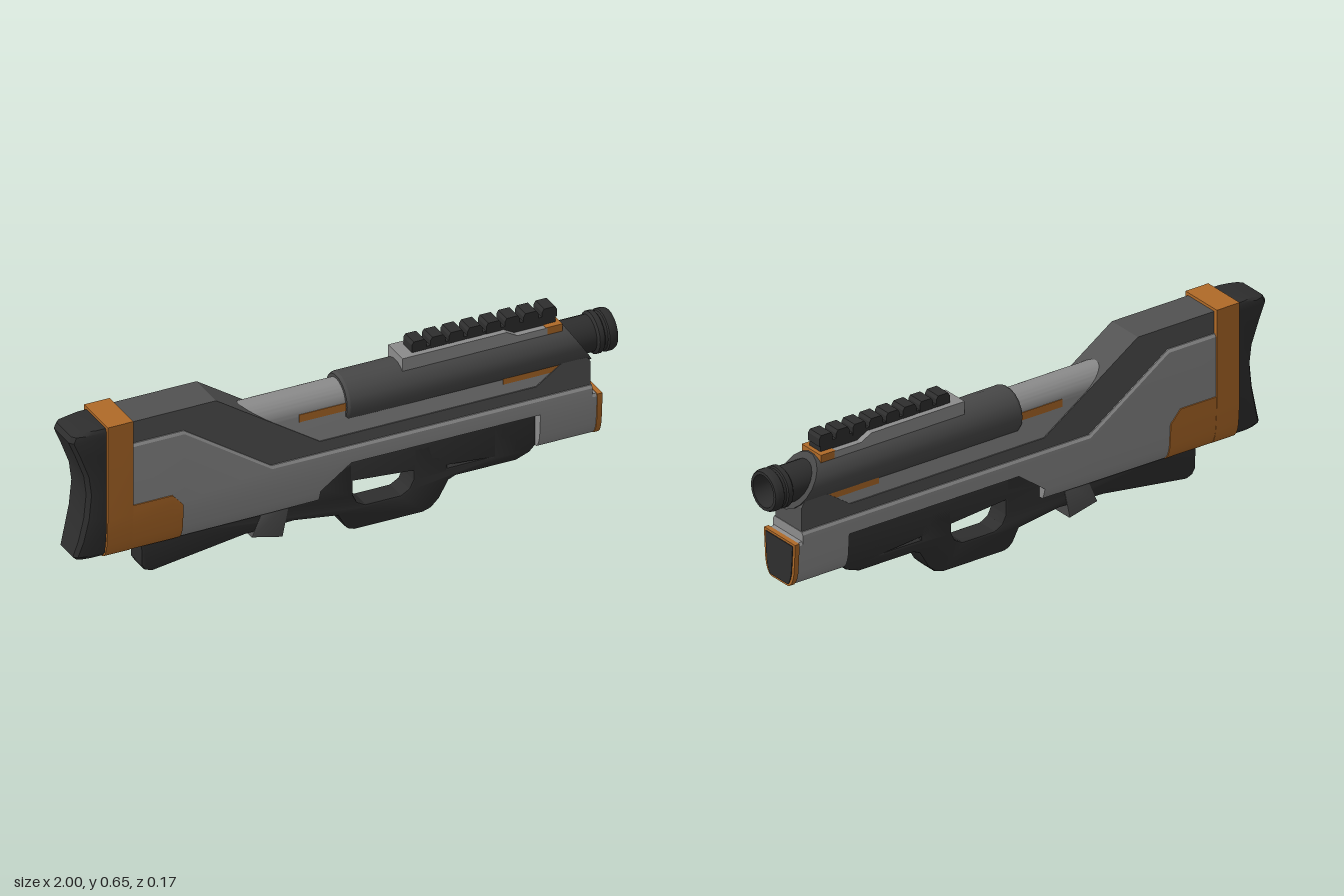
import * as THREE from 'three';
import { toCreasedNormals } from 'three/addons/utils/BufferGeometryUtils.js';

const mat = (color) => new THREE.MeshStandardMaterial({ color });
const LIGHT = mat(0x8c8c8c), DARK = mat(0x525252), SLEEVE = mat(0x484848), BLACK = mat(0x2e2e2e), ORANGE = mat(0xb06a28);
const AXIS_Y = 0.495;

// Half width of the U-shaped body at height y
const WIDTHS = [[0.146, 0.042], [0.152, 0.054], [0.164, 0.064], [0.18, 0.071], [0.2, 0.076], [0.25, 0.08], [0.3, 0.083], [0.9, 0.083]];
function halfWidth(y) {
  for (let i = 1; i < WIDTHS.length; i++) {
    const [y0, w0] = WIDTHS[i - 1], [y1, w1] = WIDTHS[i];
    if (y <= y1) return w0 + (w1 - w0) * Math.max(0, (y - y0) / (y1 - y0));
  }
  return 0.083;
}

// Skin closed convex rings of [x, y, z] points, with end caps
function loft(rings) {
  const n = rings[0].length, idx = [], pos = rings.flat();
  for (let r = 0; r < rings.length - 1; r++)
    for (let i = 0; i < n; i++) {
      const a = r * n + i, b = r * n + (i + 1) % n;
      idx.push(a, b, b + n, a, b + n, a + n);
    }
  const e = (rings.length - 1) * n;
  for (let i = 1; i < n - 1; i++) idx.push(0, i + 1, i, e, e + i, e + i + 1);
  // turn all faces outward if the enclosed volume is negative
  let vol = 0;
  const v = (i) => new THREE.Vector3(...pos[i]);
  for (let i = 0; i < idx.length; i += 3) vol += v(idx[i]).dot(v(idx[i + 1]).cross(v(idx[i + 2])));
  if (vol < 0) idx.reverse();
  const g = new THREE.BufferGeometry();
  g.setAttribute('position', new THREE.Float32BufferAttribute(pos.flat(), 3));
  g.setIndex(idx);
  return toCreasedNormals(g, 0.5);
}

// Body-section loft from stations [x, bottom, top]
function shell(stations, grow = 0, chamfer = 0) {
  return loft(stations.map(([x, bot, top]) => {
    const side = WIDTHS.map(([y]) => {
      const c = Math.min(Math.max(y, bot), top - 0.01);
      return [x, c, halfWidth(c) + grow];
    });
    side.push([x, top, halfWidth(top) + grow - chamfer]);
    return [...side, ...side.map(([px, y, z]) => [px, y, -z]).reverse()];
  }));
}

// Side profile extruded symmetrically in z
function slab(points, half, bevel = 0, holes = []) {
  const v2 = (p) => p.map(([x, y]) => new THREE.Vector2(x, y));
  const shape = new THREE.Shape(v2(points));
  for (const h of holes) shape.holes.push(new THREE.Path(v2(h)));
  const depth = 2 * (half - bevel);
  const g = new THREE.ExtrudeGeometry(shape, {
    depth, bevelEnabled: bevel > 0, bevelSize: bevel, bevelThickness: bevel, bevelOffset: -bevel, bevelSegments: 2,
  });
  return toCreasedNormals(g.translate(0, 0, -depth / 2), 0.5);
}

function box(x0, x1, y0, y1, half) {
  return new THREE.BoxGeometry(x1 - x0, y1 - y0, 2 * half).translate((x0 + x1) / 2, (y0 + y1) / 2, 0);
}

// Turned part along x from [x, radius] points
function turned(points, sides) {
  return new THREE.LatheGeometry(points.map(([x, r]) => new THREE.Vector2(r, x)), sides)
    .rotateZ(-Math.PI / 2).translate(0, AXIS_Y, 0);
}

export function createModel() {
  const model = new THREE.Group();
  const add = (name, geometry, material, parent = model) => {
    const m = new THREE.Mesh(geometry, material);
    m.name = name;
    parent.add(m);
  };

  // Lower body with the gap above the trigger guard
  add('lowerBody', shell([
    [-0.8, 0.152, 0.56], [-0.59, 0.152, 0.56], [-0.27, 0.155, 0.345], [-0.09, 0.16, 0.345], [-0.09, 0.2, 0.345],
    [0.02, 0.283, 0.345], [0.71, 0.283, 0.345], [0.71, 0.15, 0.345], [0.9, 0.15, 0.345], [0.9, 0.15, 0.312], [0.92, 0.15, 0.308],
  ], -0.002, 0.006), LIGHT);
  add('frontCapRim', shell([[0.916, 0.147, 0.311], [0.934, 0.147, 0.311]], 0.002), ORANGE);
  add('frontCapFace', shell([[0.92, 0.155, 0.303], [0.937, 0.155, 0.303]], -0.009), BLACK);

  // Upper frame from the stock to the muzzle end
  add('upperFrame', slab([
    [-0.8, 0.64], [-0.47, 0.64], [-0.09, 0.387], [0.7, 0.387], [0.79, 0.45], [0.88, 0.46], [0.898, 0.43],
    [0.898, 0.3], [-0.24, 0.3], [-0.6, 0.52], [-0.8, 0.52],
  ], 0.071), DARK);

  // Receiver: round top over straight sides
  const arch = new THREE.Shape();
  arch.moveTo(-0.067, 0.36).lineTo(0.067, 0.36).lineTo(0.067, AXIS_Y).absarc(0, AXIS_Y, 0.067, 0, Math.PI);
  add('receiver', toCreasedNormals(
    new THREE.ExtrudeGeometry(arch, { depth: 1.2, bevelEnabled: false, curveSegments: 16 })
      .rotateY(Math.PI / 2).translate(-0.4, 0, 0), 0.5), LIGHT);
  add('rearStripe', box(-0.165, 0.02, 0.477, 0.505, 0.0685), ORANGE);
  add('frontStripe', box(0.58, 0.79, 0.425, 0.46, 0.0685), ORANGE);

  // Barrel sleeve with slanted front end
  const sleeve = turned([[0.005, 0], [0.005, 0.079], [0.015, 0.085], [0.8, 0.085], [0.8, 0]], 18);
  const p = sleeve.attributes.position;
  for (let i = 0; i < p.count; i++) if (p.getX(i) > 0.5) p.setX(i, 0.81 + (0.58 - p.getY(i)) * 0.66);
  add('barrelSleeve', toCreasedNormals(sleeve, 0.5), SLEEVE);

  // Hollow muzzle
  add('muzzle', toCreasedNormals(turned([
    [0.78, 0.064], [0.925, 0.064], [0.932, 0.073], [0.95, 0.073], [0.954, 0.068], [0.964, 0.068], [0.968, 0.073],
    [0.99, 0.073], [1, 0.068], [1, 0.057], [0.92, 0.055], [0.92, 0],
  ], 20), 0.5), BLACK);

  // Top rail
  add('railBase', slab([[0.22, 0.55], [0.22, 0.608], [0.6, 0.608], [0.64, 0.586], [0.75, 0.586], [0.75, 0.55]], 0.052), LIGHT);
  add('railEndBlock', box(0.745, 0.805, 0.55, 0.588, 0.052), ORANGE);
  const rail = new THREE.Group();
  rail.name = 'rail';
  model.add(rail);
  add('railBar', box(0.27, 0.79, 0.585, 0.618, 0.03), BLACK, rail);
  for (let i = 0; i < 8; i++) {
    const x = 0.265 + i * 0.068;
    add('railTooth', slab([[x, 0.608], [x + 0.054, 0.608], [x + 0.054, 0.636], [x + 0.047, 0.647], [x + 0.007, 0.647], [x, 0.636]], 0.031), BLACK, rail);
  }

  // Stock band, lower panel and butt pad
  add('stockBand', shell([[-0.873, 0.145, 0.65], [-0.78, 0.145, 0.65]], 0.003), ORANGE);
  add('stockPanel', shell([[-0.79, 0.147, 0.332], [-0.635, 0.147, 0.332], [-0.595, 0.147, 0.287]], 0.002), ORANGE);
  const padRows = [
    [0.153, -0.965, 0.05], [0.17, -0.98, 0.064], [0.23, -0.963, 0.074], [0.31, -0.945, 0.077], [0.4, -0.936, 0.077],
    [0.47, -0.945, 0.077], [0.55, -0.975, 0.077], [0.61, -1, 0.077], [0.63, -0.99, 0.075], [0.64, -0.95, 0.07],
  ];
  add('buttPad', loft(padRows.map(([y, x, w]) => [
    [-0.86, y, w], [x + 0.045, y, w], [x + 0.012, y, w * 0.9], [x, y, w * 0.7],
    [x, y, -w * 0.7], [x + 0.012, y, -w * 0.9], [x + 0.045, y, -w], [-0.86, y, -w],
  ])), BLACK);

  // Grip and trigger guard with two openings
  add('gripAndGuard', slab([
    [-0.73, 0.18], [-0.727, 0.07], [-0.715, 0.05], [-0.69, 0.04], [-0.35, 0.088], [-0.17, 0.093], [-0.01, 0.07], [0.015, 0.025],
    [0.03, 0.01], [0.05, 0.003], [0.3, 0.003], [0.33, 0.012], [0.36, 0.04], [0.395, 0.1], [0.42, 0.11], [0.64, 0.11],
    [0.69, 0.128], [0.712, 0.15], [0.712, 0.3], [0, 0.3], [-0.1, 0.21],
  ], 0.043, 0.008, [
    [[0.045, 0.285], [0.045, 0.135], [0.06, 0.105], [0.09, 0.088], [0.22, 0.088], [0.25, 0.105], [0.265, 0.135], [0.265, 0.285]],
    [[0.39, 0.285], [0.39, 0.148], [0.555, 0.148], [0.555, 0.285]],
  ]), BLACK);
  add('trigger', slab([
    [0.38, 0.29], [0.38, 0.145], [0.45, 0.145], [0.452, 0.17], [0.44, 0.205], [0.437, 0.24], [0.445, 0.29],
  ], 0.022, 0.004), BLACK);

  // Slanted release lever under the stock
  add('releaseLever', slab([[-0.28, 0.18], [-0.185, 0.18], [-0.213, 0.045], [-0.326, 0.072]], 0.045, 0.004), DARK);
  return model;
}
